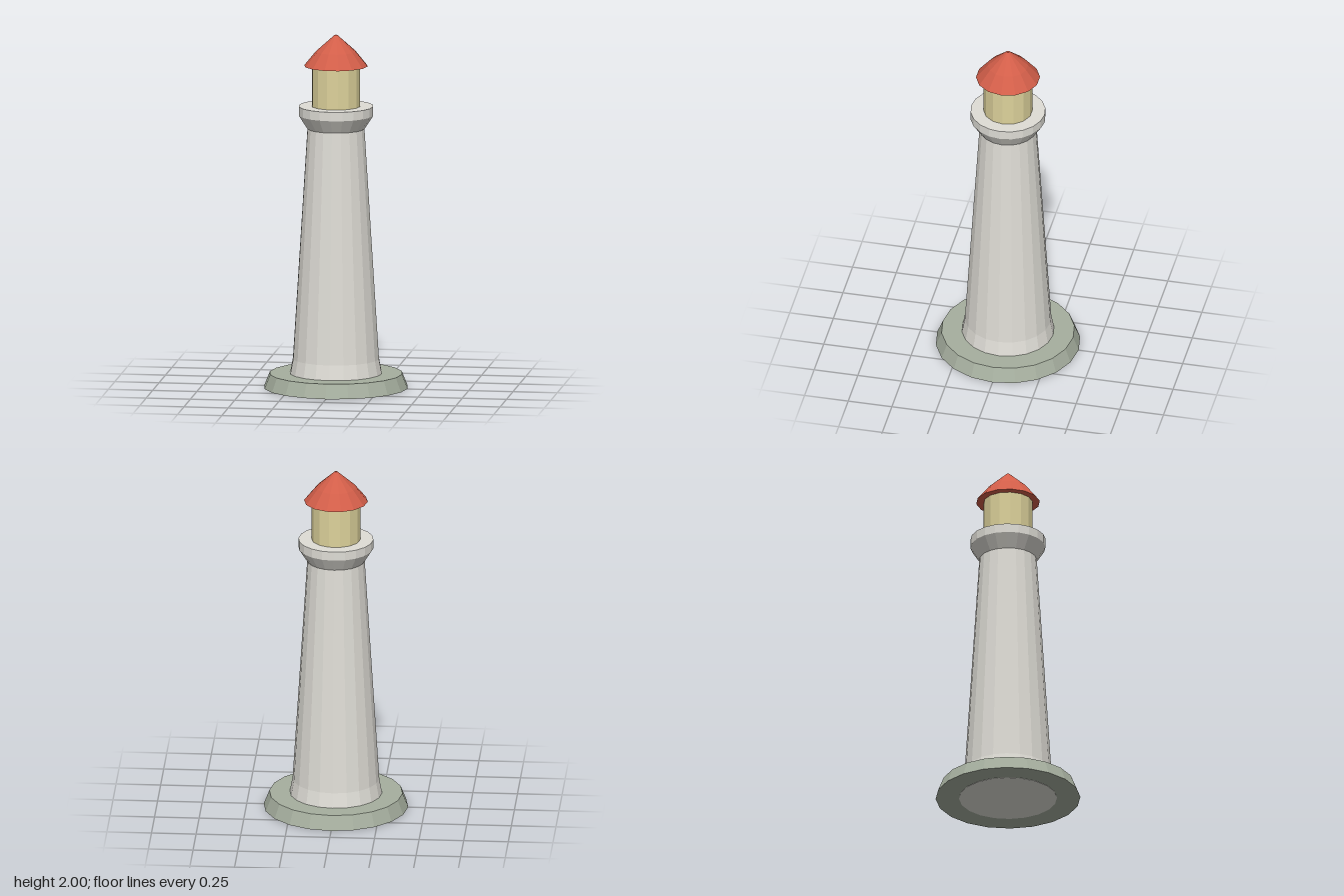
import * as THREE from 'three';

function material(name, color) {
  const m = new THREE.MeshStandardMaterial({ color, flatShading: true });
  m.name = name;
  return m;
}

// Closed faceted solid of revolution; profile is [radius, height] from bottom to top
function turned(name, profile, sides, mat) {
  const points = profile.map(([r, y]) => new THREE.Vector2(r, y));
  const geometry = new THREE.LatheGeometry(points, sides).toNonIndexed();
  geometry.rotateY(Math.PI / 2); // corner on the x axis
  geometry.computeVertexNormals();
  const mesh = new THREE.Mesh(geometry, mat);
  mesh.name = name;
  return mesh;
}

export function createModel() {
  const stone = material('pale stone', 0xdfddd6);
  const plinth = material('grey green', 0xa6af9f);
  const glass = material('lantern yellow', 0xddd29b);
  const red = material('roof red', 0xd25e49);

  const group = new THREE.Group();
  group.name = 'lighthouse';

  group.add(
    // Wide plinth, lifted a hair so the tower's foot shows beneath it
    turned('base', [[0, 0.002], [0.405, 0.002], [0.373, 0.082], [0, 0.082]], 20, plinth),
    // Tower with flared foot and projecting gallery
    turned('tower', [
      [0, 0], [0.274, 0], [0.243, 0.165], [0.161, 1.47],
      [0.21, 1.546], [0.21, 1.597], [0, 1.597],
    ], 20, stone),
    // Lantern room
    turned('lantern', [[0, 1.59], [0.137, 1.59], [0.137, 1.84], [0, 1.84]], 14, glass),
    // Two-slope roof with a tiny blunt tip
    turned('roof', [
      [0, 1.825], [0.179, 1.825], [0.112, 1.907], [0.008, 2], [0, 2],
    ], 14, red),
  );
  return group;
}
